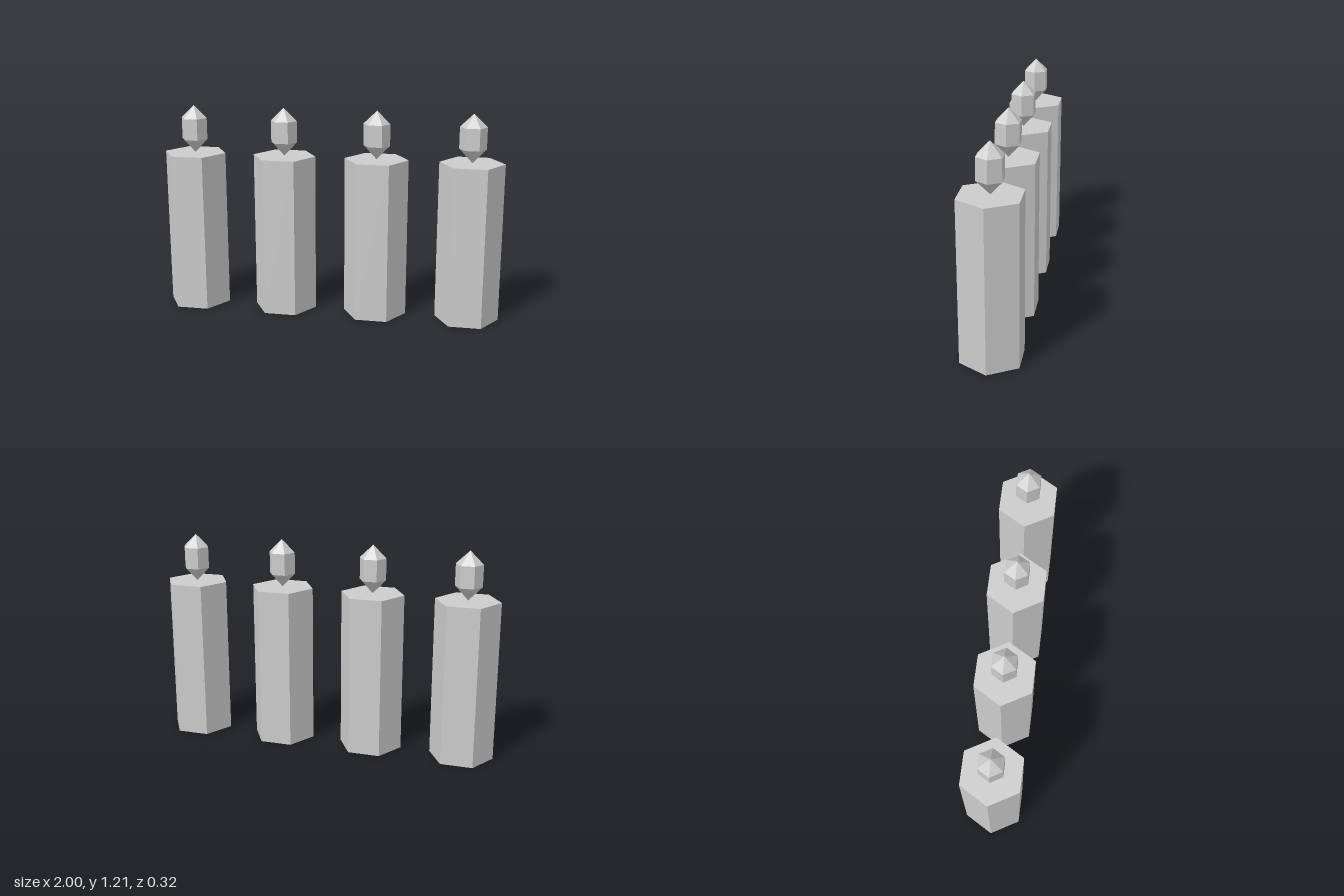
import * as THREE from 'three';

const SIDES = 6;
const CANDLE_COUNT = 4;
const RADIUS = 0.185;
const HEIGHT = 0.93;

export function createModel() {
  const model = new THREE.Group();
  model.name = 'candleRow';
  const material = new THREE.MeshStandardMaterial({ color: 0xcccccc, flatShading: true });

  // Hexagonal wax column with corners pointing along x
  const waxGeometry = new THREE.CylinderGeometry(RADIUS, RADIUS, HEIGHT, SIDES, 1, false, Math.PI / 6);
  waxGeometry.translate(0, HEIGHT / 2, 0);

  // Six-sided flame, pointed at both ends, balanced on the wax
  const flameProfile = [[0, 0.93], [0.077, 1.01], [0.077, 1.135], [0, 1.21]]
    .map(([r, y]) => new THREE.Vector2(r, y));
  const flameGeometry = new THREE.LatheGeometry(flameProfile, SIDES, Math.PI / 6);

  // Evenly spaced candles, outermost corners at x = -1 and x = 1
  const spacing = 2 * (1 - RADIUS) / (CANDLE_COUNT - 1);
  for (let i = 0; i < CANDLE_COUNT; i++) {
    const candle = new THREE.Group();
    candle.name = `candle${i + 1}`;
    candle.position.x = RADIUS - 1 + i * spacing;

    const wax = new THREE.Mesh(waxGeometry, material);
    wax.name = 'wax';
    const flame = new THREE.Mesh(flameGeometry, material);
    flame.name = 'flame';
    candle.add(wax, flame);
    model.add(candle);
  }
  return model;
}
